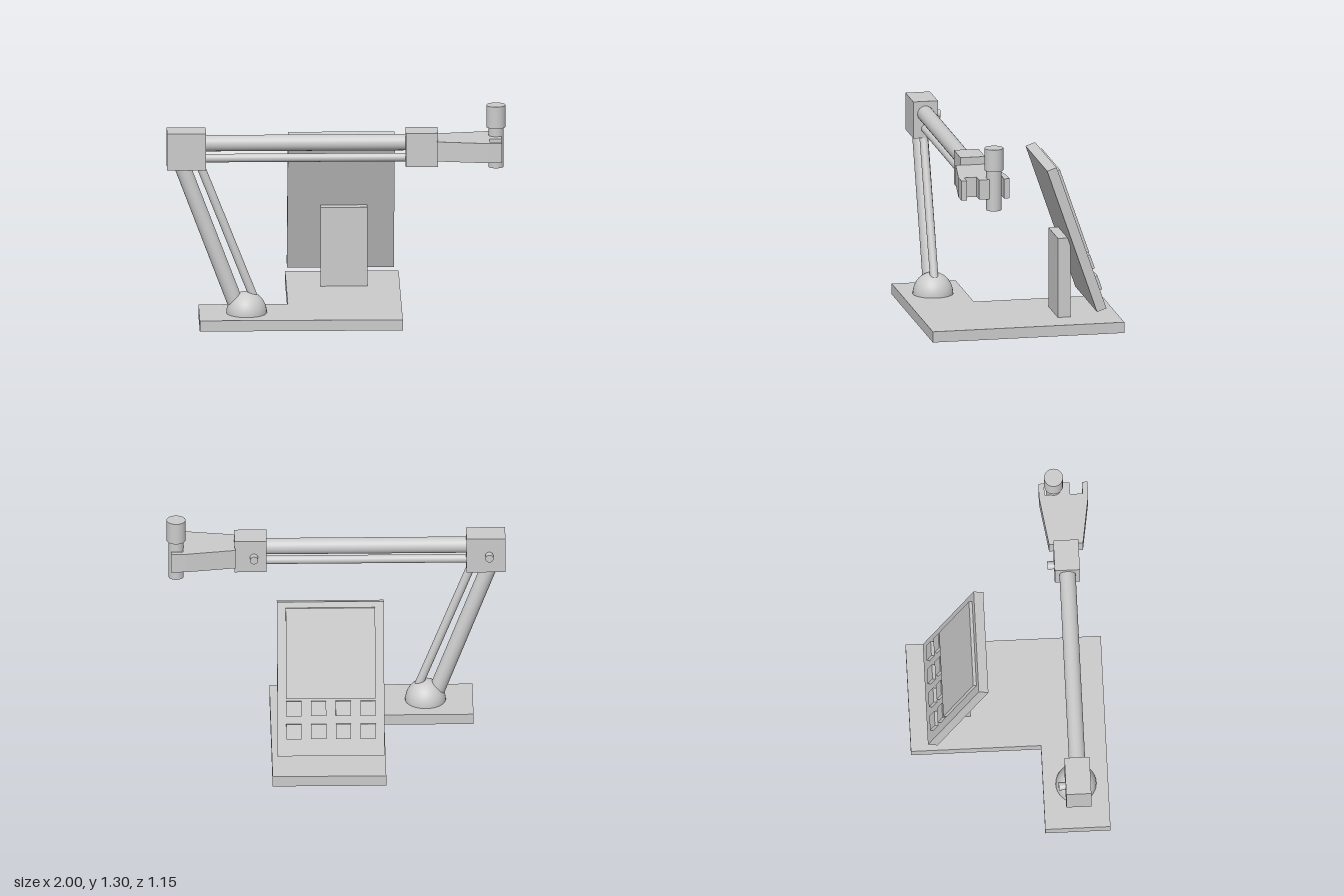
import * as THREE from 'three';

const ARM_Z = 0.38; // plane in which the arm folds

export function createModel() {
  const model = new THREE.Group();
  const mat = new THREE.MeshStandardMaterial({ color: 0xcccccc });

  function add(name, geo, x = 0, y = 0, z = 0, parent = model) {
    const mesh = new THREE.Mesh(geo, mat);
    mesh.name = name;
    mesh.position.set(x, y, z);
    parent.add(mesh);
    return mesh;
  }

  // Box given by its extents
  function box(name, x0, x1, y0, y1, z0, z1) {
    return add(name, new THREE.BoxGeometry(x1 - x0, y1 - y0, z1 - z0),
      (x0 + x1) / 2, (y0 + y1) / 2, (z0 + z1) / 2);
  }

  // Round rod between two points
  function rod(name, a, b, r) {
    const from = new THREE.Vector3(...a), to = new THREE.Vector3(...b);
    const dir = to.clone().sub(from);
    const mesh = add(name, new THREE.CylinderGeometry(r, r, dir.length(), 32));
    mesh.position.copy(from).add(to).multiplyScalar(0.5);
    mesh.quaternion.setFromUnitVectors(new THREE.Vector3(0, 1, 0), dir.normalize());
    return mesh;
  }

  // Flat plate from an outline of [x, z] points
  function plate(name, points, y0, y1) {
    const shape = new THREE.Shape(points.map(([x, z]) => new THREE.Vector2(x, -z)));
    const geo = new THREE.ExtrudeGeometry(shape, { depth: y1 - y0, bevelEnabled: false });
    geo.rotateX(-Math.PI / 2);
    return add(name, geo, 0, y0, 0);
  }

  // L-shaped base
  plate('base', [[-0.81, 0.575], [0.387, 0.575], [0.387, -0.577],
    [-0.283, -0.577], [-0.283, 0.19], [-0.81, 0.19]], 0, 0.065);

  // Swivel dome
  const dome = new THREE.SphereGeometry(0.12, 32, 12, 0, Math.PI * 2, 0, Math.PI / 2);
  add('swivelDome', dome, -0.53, 0.065, 0.385).scale.y = 1.07;

  // Lower arm
  rod('lowerArm', [-0.587, 0.1, ARM_Z + 0.005], [-0.925, 1.0, ARM_Z + 0.005], 0.047);
  rod('lowerArmLink', [-0.465, 0.1, ARM_Z + 0.005], [-0.818, 1.0, ARM_Z + 0.005], 0.025);

  // Upper arm
  rod('upperArm', [-0.8, 1.096, ARM_Z], [0.44, 1.096, ARM_Z], 0.048);
  rod('upperArmLink', [-0.8, 1.005, ARM_Z], [0.44, 1.005, ARM_Z], 0.025);

  // Joint blocks with their pins at the back
  box('elbowBlock', -1, -0.77, 0.95, 1.172, 0.305, 0.453);
  box('wristBlock', 0.407, 0.597, 0.963, 1.168, 0.305, 0.453);
  rod('elbowPin', [-0.905, 1.06, 0.4], [-0.905, 1.06, 0.265], 0.024);
  rod('wristPin', [0.482, 1.06, 0.4], [0.482, 1.06, 0.265], 0.024);

  // Flared clamp with two slots in its end
  const half = [[0.59, 0.1], [0.885, 0.145], [0.973, 0.145], [0.973, 0.112],
    [0.9, 0.112], [0.9, 0.038], [0.973, 0.038]];
  plate('clamp', [
    ...half.map(([x, d]) => [x, ARM_Z + d]),
    ...half.map(([x, d]) => [x, ARM_Z - d]).reverse(),
  ], 1.003, 1.122);

  // Upright instrument held by the clamp
  rod('instrumentBody', [0.941, 0.93, 0.323], [0.941, 1.18, 0.323], 0.045);
  rod('instrumentCap', [0.941, 1.172, 0.323], [0.941, 1.305, 0.323], 0.056);

  // Panel support
  box('panelSupport', -0.08, 0.195, 0.065, 0.545, -0.293, -0.217);

  // Tilted control panel, facing the back
  const panel = new THREE.Group();
  panel.name = 'controlPanel';
  panel.position.set(0.04, 0.572, -0.298);
  panel.rotation.x = 0.332;
  model.add(panel);
  add('panelBody', new THREE.BoxGeometry(0.63, 0.92, 0.06), 0, 0, 0, panel);
  add('screen', new THREE.BoxGeometry(0.527, 0.54, 0.03), 0, 0.155, -0.035, panel);
  for (const y of [-0.175, -0.312]) {
    for (let i = 0; i < 4; i++) {
      add('button', new THREE.BoxGeometry(0.09, 0.088, 0.03), (i - 1.5) * 0.146, y, -0.035, panel);
    }
  }

  return model;
}
